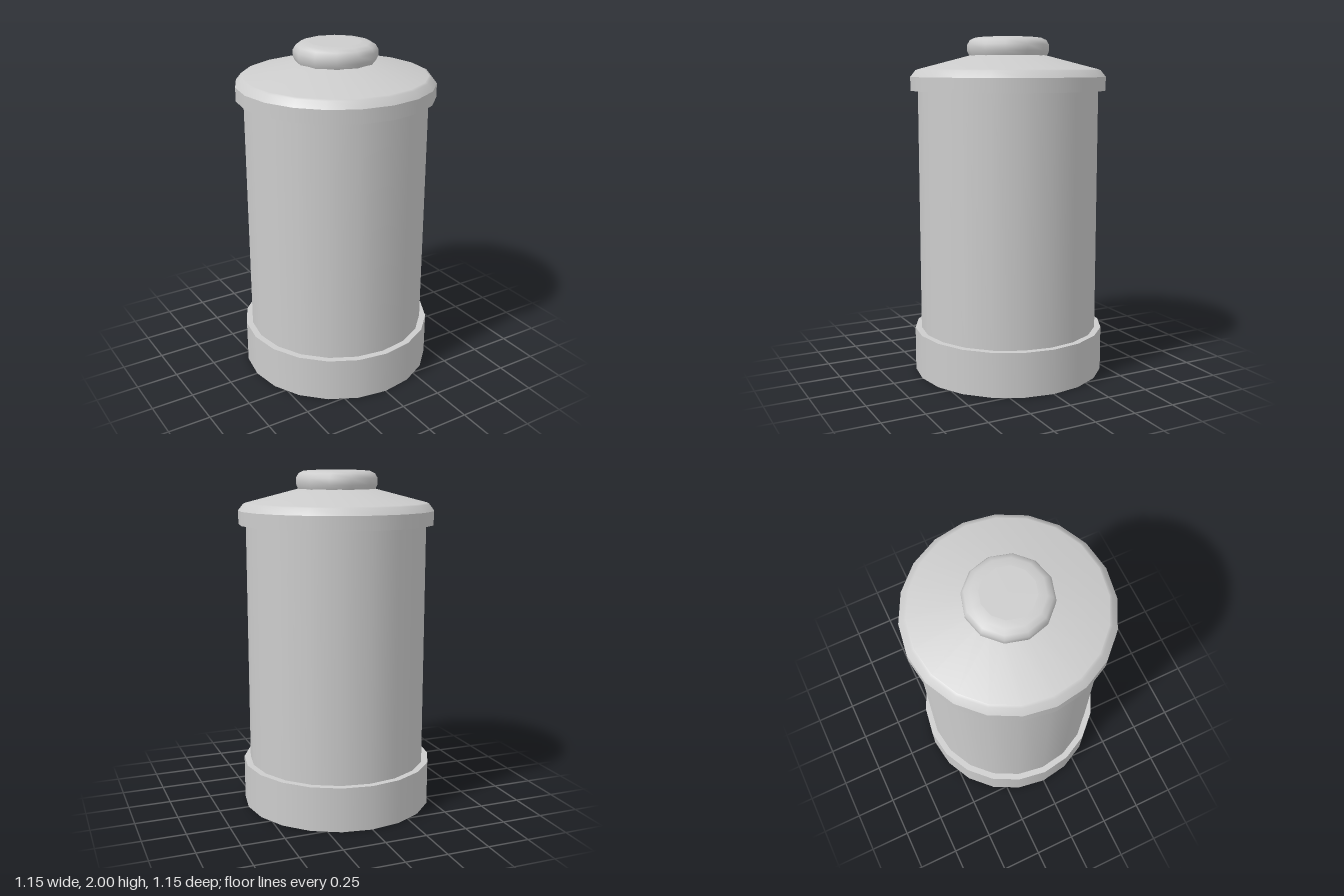
import * as THREE from 'three';
import { mergeGeometries } from 'three/addons/utils/BufferGeometryUtils.js';

export function createModel() {
  const model = new THREE.Group();
  model.name = 'canister';

  const grey = new THREE.MeshStandardMaterial({ color: 0xcccccc, side: THREE.DoubleSide });
  grey.name = 'grey';

  // Revolves several [radius, height] profiles; each is smooth, with sharp edges between them.
  function turned(name, sides, ...profiles) {
    const pieces = profiles.map((profile) =>
      new THREE.LatheGeometry(profile.map(([r, y]) => new THREE.Vector2(r, y)), sides));
    const mesh = new THREE.Mesh(mergeGeometries(pieces), grey);
    mesh.name = name;
    model.add(mesh);
  }

  // Hollow skirt at the foot, open underneath
  turned('baseRing', 20,
    [[0.57, 0], [0.57, 0.262]],
    [[0.57, 0.262], [0.53, 0.262]]);

  // Main drum with a flat floor
  turned('body', 20,
    [[0, 0.262], [0.532, 0.262]],
    [[0.532, 0.262], [0.532, 1.69]]);

  // Tapered nozzle beneath the floor
  turned('bottomNozzle', 12,
    [[0, 0.1], [0.104, 0.1]],
    [[0.104, 0.1], [0.24, 0.25], [0.24, 0.262]]);

  // Overhanging lid: underside, then rim, bevel and shallow cone
  turned('lid', 20,
    [[0.53, 1.69], [0.575, 1.69]],
    [[0.575, 1.69], [0.575, 1.77]],
    [[0.575, 1.77], [0.545, 1.808], [0.53, 1.814]],
    [[0.53, 1.814], [0.2, 1.9], [0, 1.9]]);

  // Rounded knob
  turned('knob', 12,
    [[0.228, 1.89], [0.241, 1.918], [0.241, 1.955], [0.225, 1.982], [0.195, 1.996], [0.15, 2]],
    [[0.15, 2], [0, 2]]);

  return model;
}
